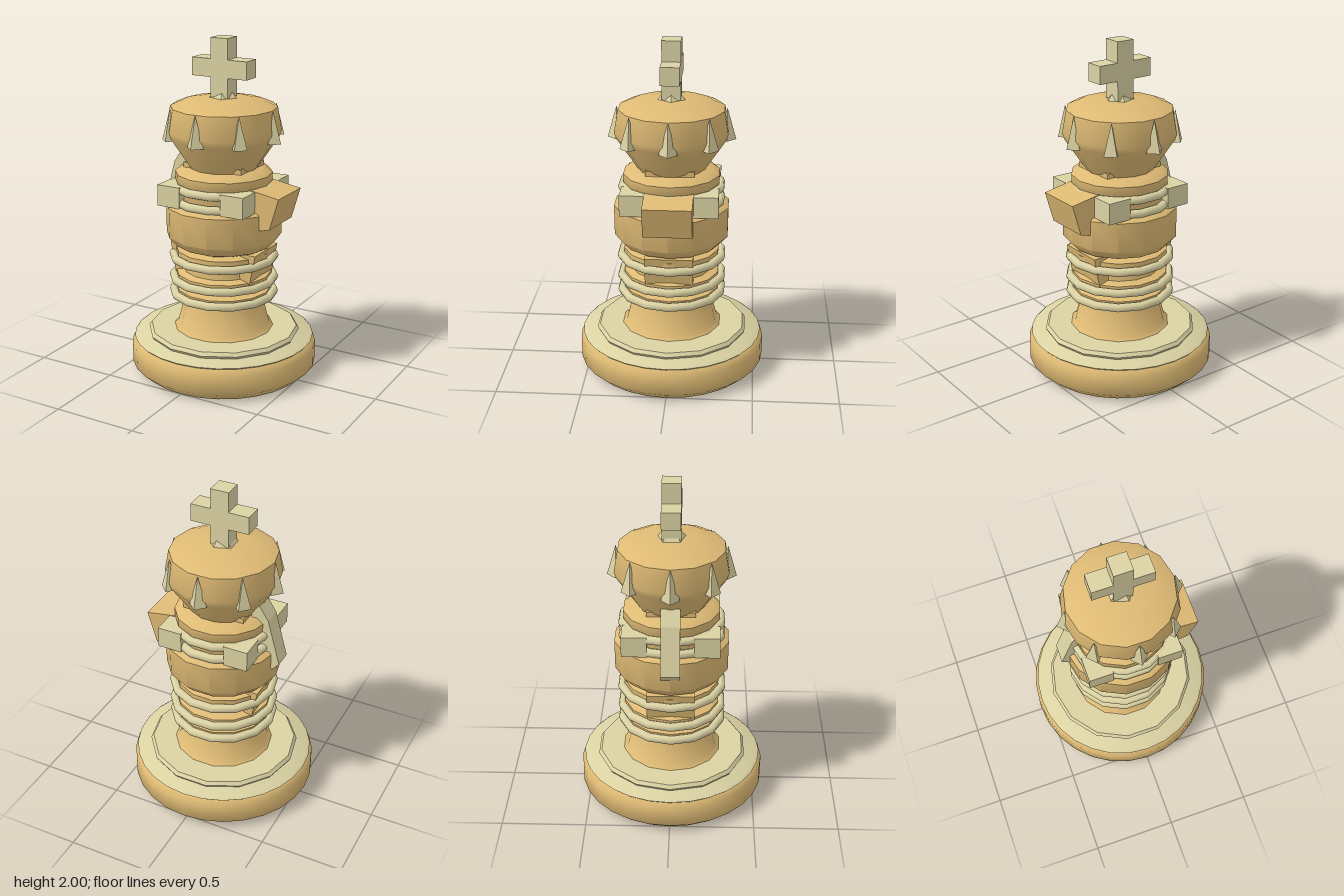
import * as THREE from 'three';
import { toCreasedNormals } from 'three/addons/utils/BufferGeometryUtils.js';

const wood = new THREE.MeshStandardMaterial({ color: 0xdeba74 });
wood.name = 'warm wood';
const cream = new THREE.MeshStandardMaterial({ color: 0xdbd2a3 });
cream.name = 'pale cream';

export function createModel() {
  const group = new THREE.Group();

  function add(name, geometry, material, x = 0, y = 0, z = 0) {
    const mesh = new THREE.Mesh(geometry, material);
    mesh.name = name;
    mesh.position.set(x, y, z);
    group.add(mesh);
    return mesh;
  }

  // Turned part with a vertex on the x axis
  function turned(name, profile, sides, material, crease = 0.8) {
    const points = profile.map(([r, y]) => new THREE.Vector2(r, y));
    const geometry = new THREE.LatheGeometry(points, sides).rotateY(Math.PI / 2);
    add(name, toCreasedNormals(geometry, crease), material);
  }

  // Side outline in x and y, given thickness along z
  function slab(name, outline, depth, material) {
    const shape = new THREE.Shape(outline.map(([x, y]) => new THREE.Vector2(x, y)));
    const geometry = new THREE.ExtrudeGeometry(shape, { depth, bevelEnabled: false });
    add(name, geometry.translate(0, 0, -depth / 2), material);
  }

  // Foot and its two stepped rims
  turned('base', [[0, 0.004], [0.5, 0], [0.555, 0.05], [0.555, 0.165], [0.525, 0.205], [0, 0.205]],
    28, wood, 1);
  turned('outerRim', [[0.5, 0.195], [0.53, 0.2], [0.54, 0.21], [0.525, 0.222], [0, 0.222]], 28, cream);
  turned('innerRim', [[0.43, 0.215], [0.448, 0.225], [0.456, 0.24], [0.44, 0.26], [0, 0.26]], 14, cream);

  // Column with a shoulder above each ring
  turned('column', [
    [0.31, 0.25], [0.275, 0.28], [0.23, 0.46], [0.285, 0.49], [0.285, 0.513], [0.23, 0.525],
    [0.225, 0.55], [0.285, 0.585], [0.285, 0.61], [0.24, 0.625], [0.235, 0.68], [0.285, 0.715],
    [0.285, 0.755], [0.23, 0.77],
  ], 14, wood);

  // Bowl, neck and collar
  turned('bowl', [[0, 0.76], [0.23, 0.765], [0.29, 0.79], [0.34, 0.845], [0.342, 1.025],
    [0.325, 1.04], [0, 1.04]], 14, wood);
  turned('neck', [[0.27, 1.03], [0.27, 1.15], [0.285, 1.17], [0.285, 1.22], [0.245, 1.25],
    [0, 1.25]], 14, wood);

  // Crown head
  turned('head', [[0, 1.22], [0.19, 1.235], [0.32, 1.43], [0.334, 1.47], [0.31, 1.605],
    [0.24, 1.635], [0.15, 1.652], [0, 1.66]], 14, wood);

  // Rounded rings
  for (const [y, r] of [[0.483, 0.3], [0.575, 0.3], [0.708, 0.3], [1.06, 0.29], [1.142, 0.29]]) {
    const ring = new THREE.TorusGeometry(r, 0.026, 8, 14).rotateX(Math.PI / 2);
    add('ring', ring, cream, 0, y, 0);
  }

  // Eight spikes around the crown
  for (let i = 0; i < 8; i++) {
    const a = (i * Math.PI) / 4;
    const spike = toCreasedNormals(new THREE.ConeGeometry(0.053, 0.185, 4), 0.3);
    add('crownSpike', spike, cream, 0.317 * Math.cos(a), 1.515, 0.317 * Math.sin(a));
  }

  // Four corner blocks around the neck
  for (const x of [-0.208, 0.208]) {
    for (const z of [-0.208, 0.208]) {
      add('cornerBlock', new THREE.BoxGeometry(0.146, 0.125, 0.146), cream, x, 1.102, z);
    }
  }

  // Blocks let into the column and neck
  slab('columnBlock', [[-0.25, 0.6], [0.25, 0.6], [0.285, 0.78], [-0.285, 0.78]], 0.28, wood);
  add('neckBlock', new THREE.BoxGeometry(0.38, 0.1, 0.28), wood, 0, 1.23, 0);

  // Tilted shield on the left, blade on the right
  slab('shield', [[0.2, 0.92], [0.31, 0.94], [0.375, 0.955], [0.43, 1.142], [0.2, 1.18]], 0.28, wood);
  slab('blade', [[-0.2, 1.05], [-0.2, 1.3], [-0.25, 1.335], [-0.305, 1.25], [-0.38, 0.97],
    [-0.335, 0.92]], 0.11, cream);

  // Finial and cross
  const finial = new THREE.CylinderGeometry(0.055, 0.09, 0.045, 5).rotateY(Math.PI / 2);
  add('finial', toCreasedNormals(finial, 0.3), cream, 0, 1.669, 0);
  slab('cross', [
    [-0.055, 1.66], [0.055, 1.66], [0.055, 1.775], [0.177, 1.775], [0.177, 1.88], [0.055, 1.88],
    [0.055, 2], [-0.055, 2], [-0.055, 1.88], [-0.177, 1.88], [-0.177, 1.775], [-0.055, 1.775],
  ], 0.11, cream);

  return group;
}
